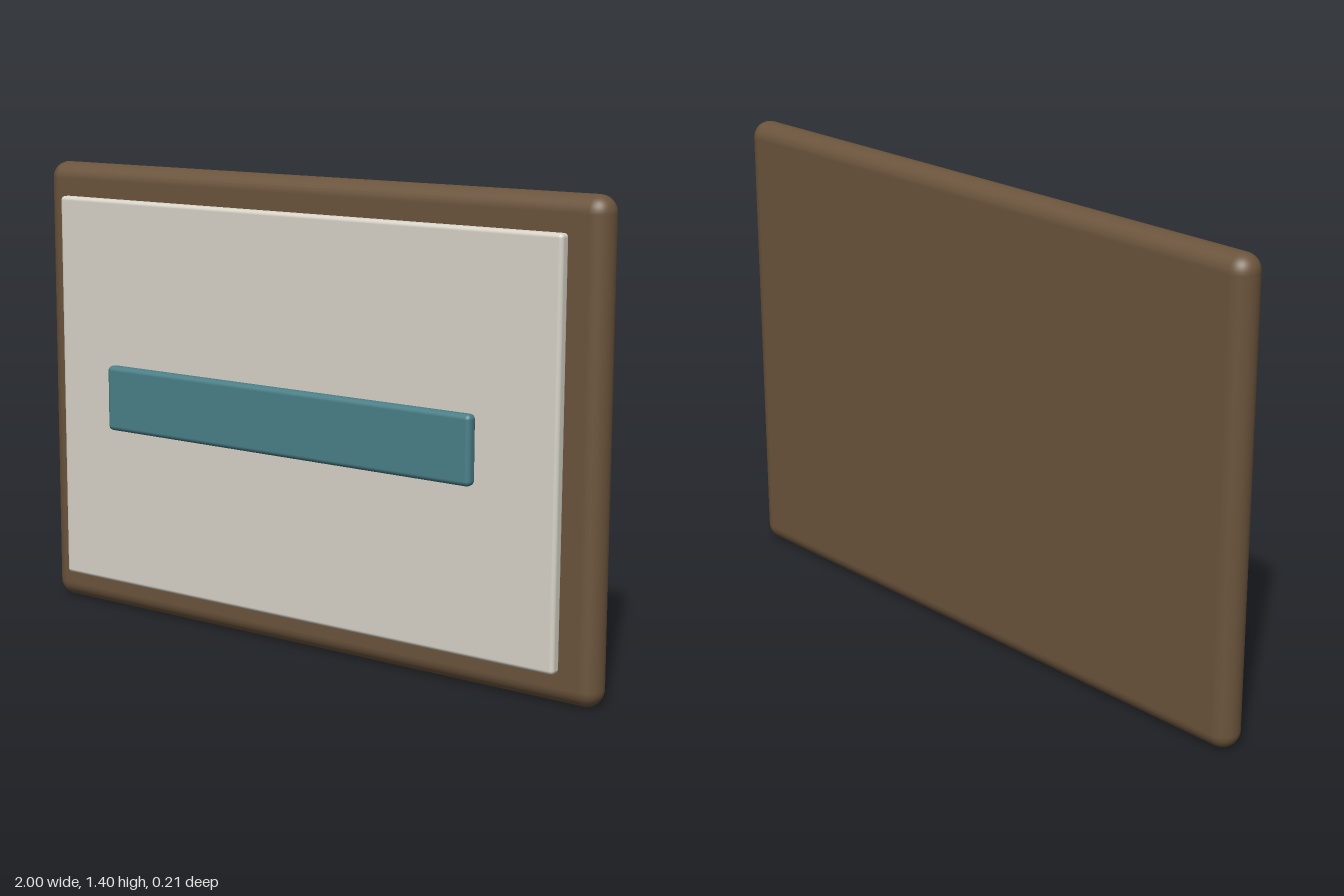
import * as THREE from 'three';
import { RoundedBoxGeometry } from 'three/addons/geometries/RoundedBoxGeometry.js';

const material = (name, color) => {
  const m = new THREE.MeshStandardMaterial({ color });
  m.name = name;
  return m;
};

export function createModel() {
  const model = new THREE.Group();
  model.name = 'wallSign';

  const slab = (name, mat, [w, h, d], radius, y, z) => {
    const mesh = new THREE.Mesh(new RoundedBoxGeometry(w, h, d, 4, radius), mat);
    mesh.name = name;
    mesh.position.set(0, y, z);
    model.add(mesh);
  };

  // Thick wooden backing with fully rounded edges
  slab('backBoard', material('brown wood', 0x6b543c), [2, 1.4, 0.1], 0.05, 0.7, -0.054);
  // Thin pale sheet floating just in front of the board
  slab('facePanel', material('pale grey', 0xd8d4c8), [1.8, 1.2, 0.038], 0.012, 0.7, 0.026);
  // Coloured bar floating in front of the sheet
  slab('centreBar', material('teal', 0x4a7f88), [1.32, 0.2, 0.038], 0.015, 0.7, 0.087);

  return model;
}
